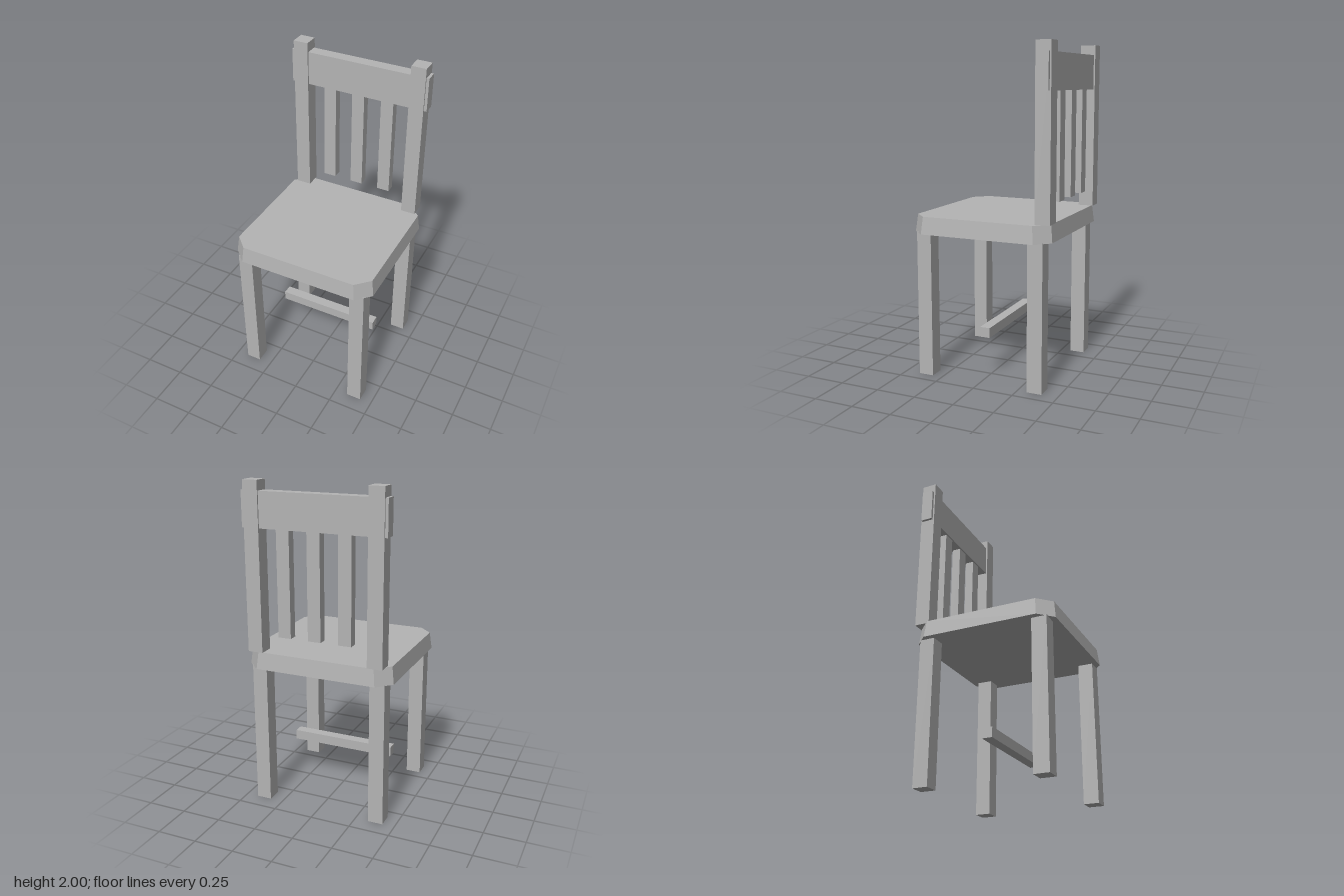
import * as THREE from 'three';

export function createModel() {
  const chair = new THREE.Group();
  chair.name = 'chair';
  const grey = new THREE.MeshStandardMaterial({ color: 0xb4b4b4 });
  grey.name = 'plain grey';

  // Box given by its lower and upper limits on each axis
  const addBox = (name, [x0, x1], [y0, y1], [z0, z1]) => {
    const mesh = new THREE.Mesh(new THREE.BoxGeometry(x1 - x0, y1 - y0, z1 - z0), grey);
    mesh.position.set((x0 + x1) / 2, (y0 + y1) / 2, (z0 + z1) / 2);
    mesh.name = name;
    chair.add(mesh);
  };

  // Seat: slab with cut corners, narrowing slightly towards the top
  const outline = new THREE.Shape([
    [0.463, -0.358], [0.463, 0.358], [0.378, 0.442], [-0.378, 0.442],
    [-0.463, 0.358], [-0.463, -0.358], [-0.378, -0.442], [0.378, -0.442],
  ].map(([x, y]) => new THREE.Vector2(x, y)));
  const bottom = 0.885, height = 0.105;
  const seatGeometry = new THREE.ExtrudeGeometry(outline, { depth: height, bevelEnabled: false });
  seatGeometry.rotateX(-Math.PI / 2);
  const p = seatGeometry.attributes.position;
  for (let i = 0; i < p.count; i++) {
    if (p.getY(i) > height / 2) {
      p.setX(i, p.getX(i) * 0.972);
      p.setZ(i, p.getZ(i) * 0.974);
    }
  }
  seatGeometry.computeVertexNormals();
  const seat = new THREE.Mesh(seatGeometry, grey);
  seat.position.y = bottom;
  seat.name = 'seat';
  chair.add(seat);

  // Legs and back posts, mirrored left and right
  for (const [side, x] of [['left', [0.332, 0.425]], ['right', [-0.425, -0.332]]]) {
    addBox(side + ' front leg', x, [0, 0.89], [0.313, 0.406]);
    addBox(side + ' back leg', x, [0, 0.89], [-0.402, -0.309]);
    addBox(side + ' back post', x, [0.993, 2], [-0.445, -0.352]);
  }

  // Top rail, passing through the posts
  addBox('top rail', [-0.442, 0.442], [1.73, 1.94], [-0.436, -0.362]);

  // Hanging back slats
  for (const x of [-0.19, 0, 0.19]) {
    addBox('back slat', [x - 0.04, x + 0.04], [1.098, 1.73], [-0.427, -0.371]);
  }

  // Stretcher between the legs
  addBox('stretcher', [-0.333, 0.333], [0.259, 0.32], [-0.029, 0.034]);

  return chair;
}
